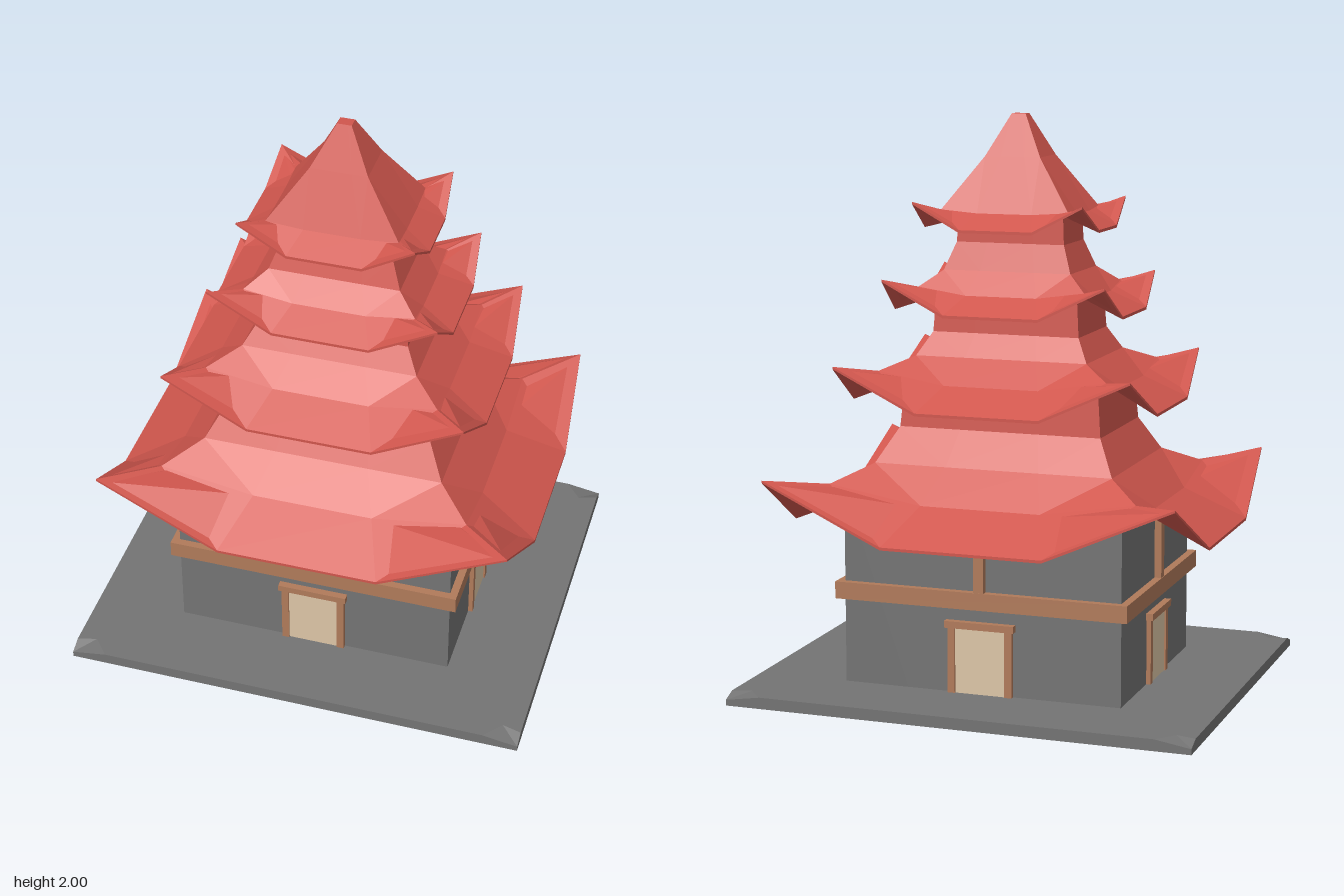
import * as THREE from 'three';

const mat = (name, color) => {
  const m = new THREE.MeshStandardMaterial({ color, side: THREE.DoubleSide });
  m.name = name;
  return m;
};

// Twelve-point rectangular ring: four corners at height yc, and two points
// along each side (at mx, mz) at height ym, pushed outward by bow.
function ring(x, z, mx, mz, yc, ym = yc, bow = 0) {
  const X = x + bow, Z = z + bow;
  return [
    [-x, yc, z], [-mx, ym, Z], [mx, ym, Z],
    [x, yc, z], [X, ym, mz], [X, ym, -mz],
    [x, yc, -z], [mx, ym, -Z], [-mx, ym, -Z],
    [-x, yc, -z], [-X, ym, -mz], [-X, ym, mz],
  ];
}

// Faceted skin through a stack of rings; facets mirror about each side's centre.
function loft(rings) {
  const pos = [];
  for (let k = 0; k < rings.length - 1; k++) {
    const lo = rings[k], hi = rings[k + 1], n = lo.length;
    for (let i = 0; i < n; i++) {
      const j = (i + 1) % n;
      if (i % 3 === 0) pos.push(...lo[i], ...lo[j], ...hi[i], ...lo[j], ...hi[j], ...hi[i]);
      else pos.push(...lo[i], ...lo[j], ...hi[j], ...lo[i], ...hi[j], ...hi[i]);
    }
  }
  const g = new THREE.BufferGeometry();
  g.setAttribute('position', new THREE.Float32BufferAttribute(pos, 3));
  g.computeVertexNormals();
  return g;
}

export function createModel() {
  const model = new THREE.Group();
  model.name = 'pagoda';
  const red = mat('roofRed', 0xd0564d);
  const grey = mat('stoneGrey', 0x737373);
  const brown = mat('timberBrown', 0xb07a5a);
  const cream = mat('doorCream', 0xdcc5a6);

  const add = (parent, name, geometry, material) => {
    const m = new THREE.Mesh(geometry, material);
    m.name = name;
    parent.add(m);
    return m;
  };
  const box = (parent, name, material, w, h, d, x, y, z) =>
    add(parent, name, new THREE.BoxGeometry(w, h, d), material).position.set(x, y, z);

  // Base slab with chipped corners and an open middle
  const inner = y => ring(0.5, 0.41, 0.25, 0.2, y);
  add(model, 'base', loft([
    inner(0),
    ring(0.825, 0.7, 0.7, 0.65, 0),
    ring(0.825, 0.7, 0.7, 0.65, 0.02, 0.04),
    ring(0.757, 0.632, 0.7, 0.65, 0.04, 0.04, 0.068),
    inner(0.04),
    inner(0),
  ]), grey);

  // Hollow walls, rising at the corners to meet the roof
  add(model, 'walls', loft([
    ring(0.5, 0.41, 0.26, 0.22, 0.02),
    ring(0.5, 0.41, 0.26, 0.22, 0.735, 0.685),
  ]), grey);

  // Timber band, centre post and door on each of the four sides
  for (let i = 0; i < 4; i++) {
    const side = new THREE.Group();
    side.name = ['front', 'left', 'back', 'right'][i] + 'Side';
    side.rotation.y = i * Math.PI / 2;
    model.add(side);
    const wide = i % 2 === 0;
    const d = wide ? 0.41 : 0.5;
    const half = wide ? 0.527 : 0.437;
    const s = wide ? 1 : 0.92;
    box(side, 'timberBand', brown, half * 2, 0.06, 0.04, 0, 0.37, d + 0.007);
    box(side, 'centrePost', brown, 0.036, 0.28, 0.04, 0, 0.53, d + 0.005);
    box(side, 'door', cream, 0.18 * s, 0.23, 0.03, 0, 0.155, d - 0.005);
    for (const x of [-0.103, 0.103])
      box(side, 'doorJamb', brown, 0.026, 0.23, 0.04, x * s, 0.155, d - 0.004);
    box(side, 'doorLintel', brown, 0.25 * s, 0.024, 0.05, 0, 0.282, d);
  }

  // Roof tiers: soffit, eave with upturned corners, dip, shoulder, then the storey above
  // soffit and body: x, z, corner y, edge y
  // eave: x, z, flat x, flat z, corner y, edge y, bow
  const tiers = [
    { soffit: [0.49, 0.40, 0.725, 0.67],
      eave: [0.73, 0.585, 0.285, 0.25, 0.77, 0.577, 0.028],
      body: [[0.55, 0.42, 0.74, 0.685], [0.43, 0.30, 0.80, 0.80], [0.365, 0.225, 0.92, 0.92], [0.35, 0.21, 1.1, 1.1]] },
    { soffit: [0.35, 0.21, 1.1, 1.08],
      eave: [0.53, 0.43, 0.22, 0.19, 1.15, 1.01, 0.025],
      body: [[0.41, 0.31, 1.125, 1.085], [0.31, 0.21, 1.17, 1.17], [0.265, 0.16, 1.25, 1.25], [0.255, 0.15, 1.4, 1.4]] },
    { soffit: [0.25, 0.145, 1.39, 1.375],
      eave: [0.4, 0.3, 0.17, 0.14, 1.44, 1.328, 0.016],
      body: [[0.3, 0.21, 1.41, 1.385], [0.23, 0.145, 1.465, 1.465], [0.195, 0.11, 1.56, 1.56], [0.19, 0.105, 1.66, 1.66]] },
    { soffit: [0.185, 0.1, 1.66, 1.645],
      eave: [0.305, 0.25, 0.13, 0.1, 1.705, 1.615, 0.013],
      body: [[0.23, 0.17, 1.675, 1.665], [0.1, 0.085, 1.855, 1.855], [0.025, 0.02, 2, 2], [0.001, 0.001, 2, 2]] },
  ];
  tiers.forEach(({ soffit, eave, body }, i) => {
    const [ex, ez, fx, fz, yc, ym, bow] = eave;
    const section = ([x, z, c, m]) => ring(x, z, x * fx / ex, z * fz / ez, c, m);
    add(model, 'roofTier' + (i + 1), loft([
      section(soffit),
      ring(ex, ez, fx, fz, yc - 0.008, ym - 0.01, bow),
      ring(...eave),
      ...body.map(section),
    ]), red);
  });

  return model;
}
